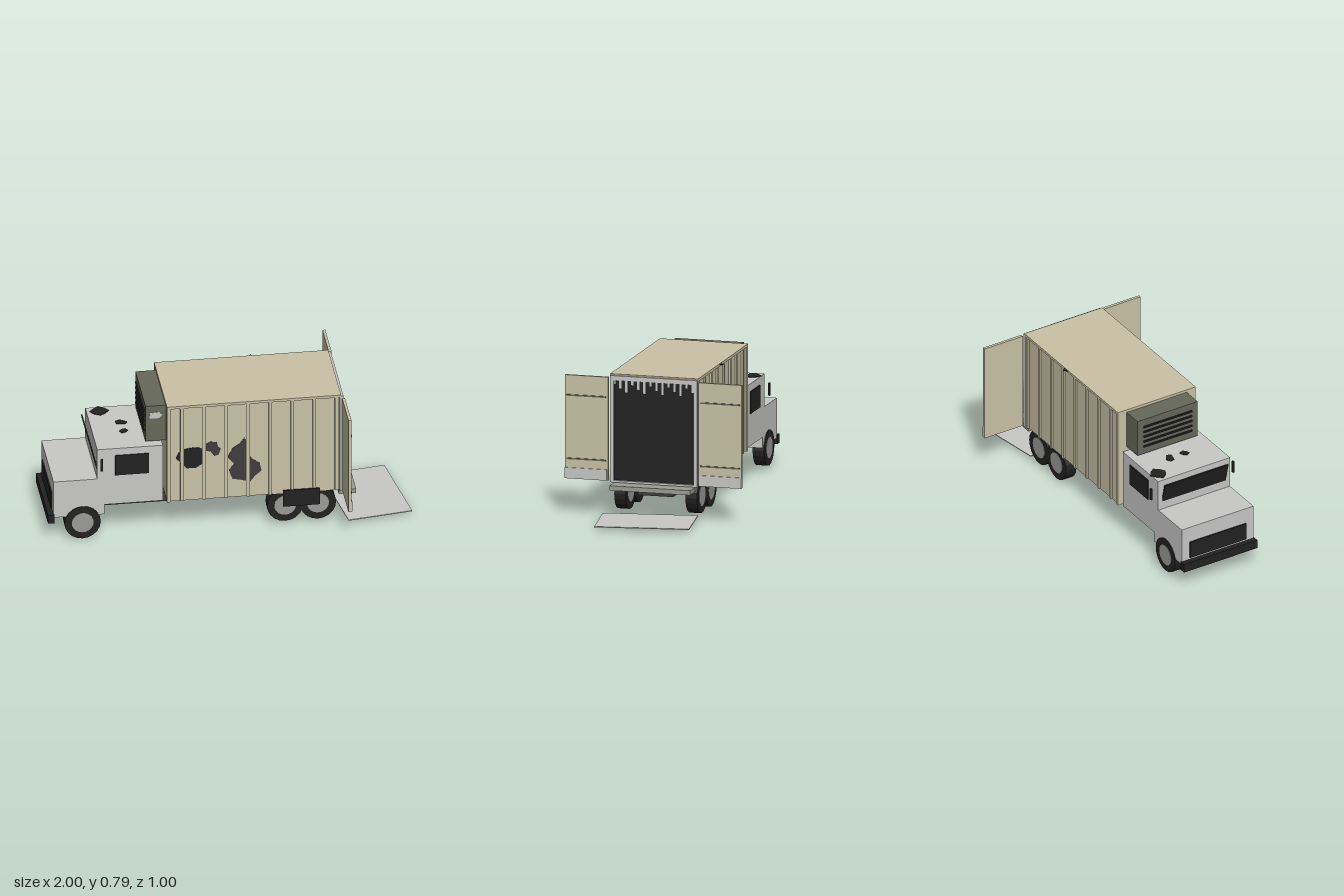
import * as THREE from 'three';

const mat = (name, color) => {
  const m = new THREE.MeshStandardMaterial({ color });
  m.name = name;
  return m;
};

export function createModel() {
  const truck = new THREE.Group();
  truck.name = 'boxTruck';

  const tan = mat('tan', 0xc9c2a5);
  const paleGrey = mat('paleGrey', 0xc8c8c7);
  const stepGrey = mat('stepGrey', 0x9c9e94);
  const hubGrey = mat('hubGrey', 0x9a9a98);
  const olive = mat('olive', 0x66685a);
  const black = mat('black', 0x222222);
  const rust = mat('rust', 0x433b3d);

  const add = (name, geometry, material, parent = truck) => {
    const mesh = new THREE.Mesh(geometry, material);
    mesh.name = name;
    parent.add(mesh);
    return mesh;
  };
  // Box given by its low and high limits on each axis
  const box = (name, material, [x0, x1], [y0, y1], [z0, z1], parent) => {
    const mesh = add(name, new THREE.BoxGeometry(x1 - x0, y1 - y0, z1 - z0), material, parent);
    mesh.position.set((x0 + x1) / 2, (y0 + y1) / 2, (z0 + z1) / 2);
    return mesh;
  };
  // Thin plate cut to an outline
  const plate = (name, material, points, depth = 0.003) => {
    const shape = new THREE.Shape(points.map(([x, y]) => new THREE.Vector2(x, y)));
    return add(name, new THREE.ExtrudeGeometry(shape, { depth, bevelEnabled: false }), material);
  };
  // Mirrored span on one side of the centre line
  const span = (s, a, b) => (s > 0 ? [a, b] : [-b, -a]);

  // Chassis and bumpers
  box('chassis', rust, [-0.96, 0.58], [0.12, 0.172], [-0.1, 0.1]);
  box('frontBumper', black, [-1, -0.965], [0.107, 0.158], [-0.235, 0.235]);
  box('rearStep', stepGrey, [0.595, 0.69], [0.16, 0.186], [-0.228, 0.228]);

  // Cab
  box('hood', paleGrey, [-0.97, -0.69], [0.14, 0.362], [-0.23, 0.23]);
  box('cab', paleGrey, [-0.73, -0.37], [0.2, 0.545], [-0.231, 0.231]);
  box('grille', black, [-0.977, -0.969], [0.17, 0.27], [-0.18, 0.18]);
  const windshield = box('windshield', black, [-0.744, -0.736], [0.408, 0.524], [-0.203, 0.203]);
  windshield.rotation.z = 0.24;
  for (const s of [1, -1]) {
    box('sideWindow', black, [-0.632, -0.447], [0.38, 0.503], span(s, 0.229, 0.237));
    box('mirror', black, [-0.717, -0.703], [0.43, 0.5], span(s, 0.258, 0.268));
  }

  // Holes in the cab roof
  const roofHoles = [
    [-0.66, -0.187, 0.053, [1, 0.8, 0.95, 0.75, 1, 0.85, 0.9, 0.8]],
    [-0.56, -0.05, 0.034, [1, 0.6, 0.8, 1, 0.9, 0.6, 0.95]],
    [-0.56, 0.045, 0.027, [0.9, 1, 0.7, 0.9, 1, 0.75]],
  ];
  for (const [x, z, r, radii] of roofHoles) {
    const points = radii.map((k, i) => {
      const a = (i / radii.length) * Math.PI * 2;
      return [r * k * Math.cos(a), r * k * Math.sin(a)];
    });
    const hole = plate('roofHole', black, points);
    hole.rotation.x = -Math.PI / 2;
    hole.position.set(x, 0.545, z);
  }

  // Wheels, with the left front one sunk lower
  const tireGeometry = new THREE.CylinderGeometry(0.099, 0.099, 0.065, 20).rotateX(Math.PI / 2).toNonIndexed();
  tireGeometry.computeVertexNormals();
  const hubGeometry = new THREE.CylinderGeometry(0.06, 0.06, 0.069, 20).rotateX(Math.PI / 2);
  for (const s of [1, -1]) {
    for (const x of [-0.81, 0.3, 0.48]) {
      const wheel = new THREE.Group();
      wheel.name = 'wheel';
      add('tire', tireGeometry, black, wheel);
      add('hub', hubGeometry, hubGrey, wheel);
      wheel.position.set(x, s > 0 && x < 0 ? 0.099 : 0.119, s * 0.2015);
      truck.add(wheel);
    }
  }
  box('looseMudguard', black, [0.285, 0.487], [0.12, 0.22], [0.246, 0.254]);

  // Cargo box with ribbed sides
  box('cargoBox', tan, [-0.348, 0.6], [0.195, 0.78], [-0.238, 0.238]);
  box('cargoRoof', tan, [-0.35, 0.605], [0.775, 0.79], [-0.249, 0.249]);
  for (const s of [1, -1]) {
    box('cornerPost', tan, [-0.35, -0.33], [0.195, 0.78], span(s, 0.23, 0.248));
    for (let i = 0; i < 8; i++) {
      const x = -0.267 + i * 0.121;
      box('rib', tan, [x - 0.009, x + 0.009], [0.197, 0.78], span(s, 0.235, 0.248));
    }
  }

  // Holes torn in the left wall
  const wallHoles = [
    [black, [[-0.3, 0.46], [-0.285, 0.495], [-0.25, 0.515], [-0.2, 0.522], [-0.16, 0.515],
      [-0.138, 0.47], [-0.15, 0.42], [-0.19, 0.395], [-0.24, 0.395], [-0.27, 0.43]]],
    [rust, [[-0.15, 0.5], [-0.14, 0.535], [-0.11, 0.55], [-0.075, 0.545], [-0.07, 0.52],
      [-0.055, 0.5], [-0.065, 0.468], [-0.09, 0.46], [-0.11, 0.49]]],
    [rust, [[0.01, 0.5], [0.05, 0.525], [0.075, 0.56], [0.1, 0.525], [0.098, 0.45], [0.125, 0.42],
      [0.16, 0.395], [0.17, 0.35], [0.135, 0.32], [0.107, 0.285], [0.055, 0.3], [0.01, 0.31],
      [-0.01, 0.365], [0.02, 0.4], [-0.016, 0.445]]],
  ];
  for (const [material, points] of wallHoles) plate('wallHole', material, points).position.z = 0.238;

  // Torn scrap at the right roof edge
  const scrap = plate('roofScrap', black, [[0.16, 0.247], [0.2, 0.247], [0.18, 0.267]]);
  scrap.rotation.x = -Math.PI / 2;
  scrap.position.y = 0.783;

  // Rear frame and dark doorway
  for (const s of [1, -1]) box('doorPost', paleGrey, [0.598, 0.618], [0.19, 0.782], span(s, 0.226, 0.247));
  box('doorHeader', paleGrey, [0.598, 0.618], [0.755, 0.782], [-0.226, 0.226]);
  box('doorSill', paleGrey, [0.598, 0.618], [0.19, 0.201], [-0.226, 0.226]);
  box('darkDoorway', black, [0.599, 0.606], [0.201, 0.755], [-0.226, 0.226]);

  // Ragged strips hanging from the header
  const lengths = [0.022, 0.045, 0.065];
  for (let i = 0; i < 14; i++) {
    const z = 0.224 - i * 0.034;
    box('hangingStrip', paleGrey, [0.605, 0.612], [0.756 - lengths[i % 3], 0.756],
      [z - 0.006, Math.min(z + 0.006, 0.226)]);
  }

  // Open rear doors
  for (const s of [1, -1]) {
    const door = new THREE.Group();
    door.name = 'rearDoor';
    truck.add(door);
    box('doorPanel', tan, [0.609, 0.625], [0.2, 0.773], span(s, 0.256, 0.5), door);
    box('kickPlate', paleGrey, [0.623, 0.631], [0.2, 0.26], span(s, 0.262, 0.499), door);
    for (const y of [0.31, 0.662])
      box('doorBar', olive, [0.623, 0.631], [y - 0.004, y + 0.004], span(s, 0.267, 0.491), door);
  }

  // Cooling unit with louvres
  box('coolingUnit', olive, [-0.46, -0.348], [0.555, 0.773], [-0.193, 0.193]);
  for (let i = 0; i < 5; i++) {
    const y = 0.602 + i * 0.031;
    box('louvre', black, [-0.467, -0.459], [y - 0.005, y + 0.005], [-0.155, 0.155]);
  }
  plate('unitPatch', paleGrey, [[-0.44, 0.695], [-0.385, 0.695], [-0.368, 0.715], [-0.385, 0.733], [-0.435, 0.73]])
    .position.z = 0.192;

  // Fallen ramp behind the truck
  const ramp = box('ramp', paleGrey, [0.6, 0.96], [0.018, 0.023], [-0.265, 0.255]);
  ramp.rotation.y = 0.153;

  return truck;
}
